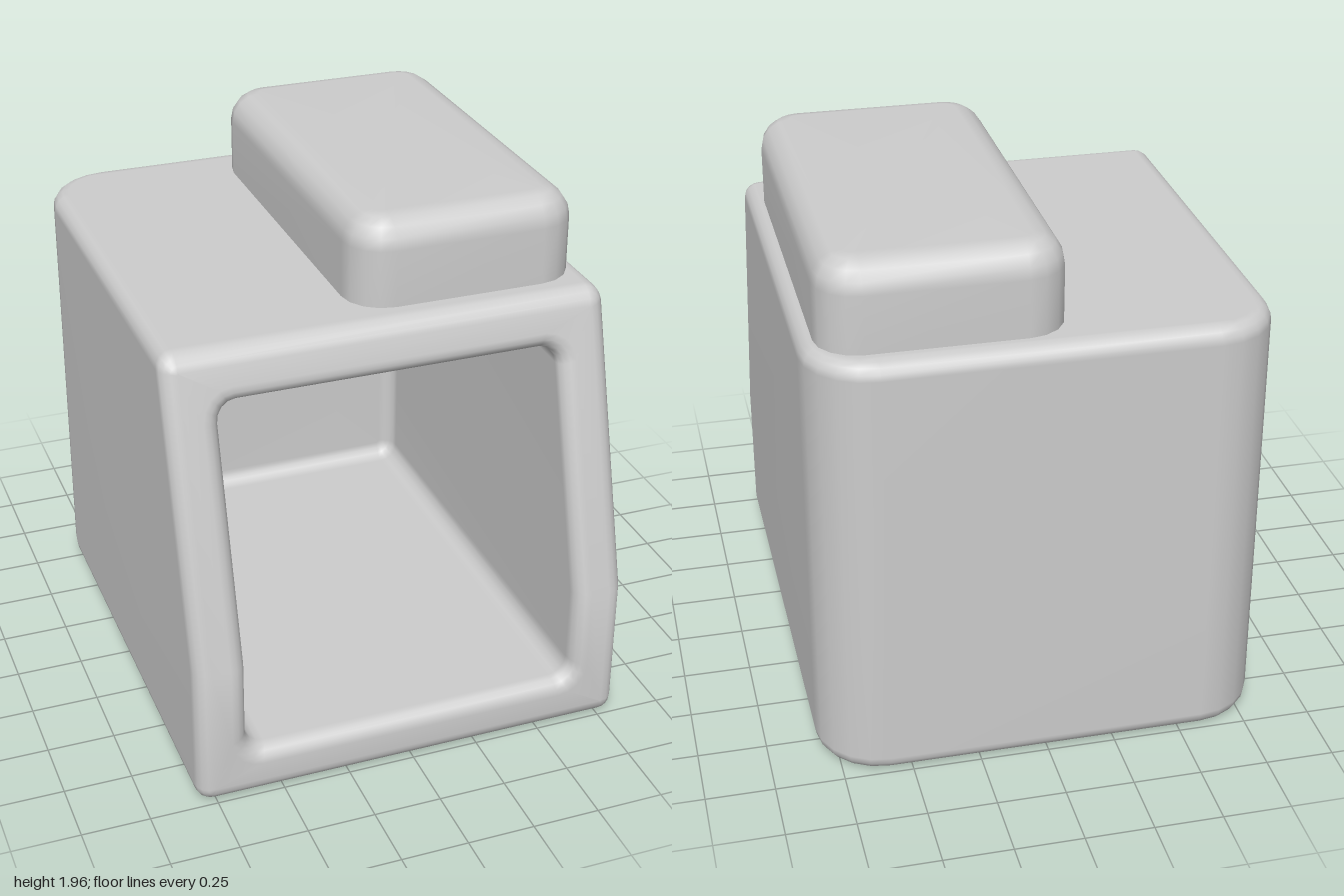
import * as THREE from 'three';
import { mergeGeometries, mergeVertices } from 'three/addons/utils/BufferGeometryUtils.js';

const W = 0.82, H = 1.64, KINK = 0.55;   // body half width, height, start of the front slope
const F = 0.06, R = 0.24, T = 0.19;      // edge fillet, rear corner radius, wall thickness
const SEG = 4;
const frontZ = (y) => (y < KINK ? 1 : 1 - 0.28 * (y - KINK));
const arc = (n) => Array.from({ length: n + 1 }, (_, i) => (i / n) * Math.PI / 2);

// Counter-clockwise rounded rectangle; sideV adds one point on each upright side
function roundedRect(hx, hy, r, sideV) {
  const pts = [];
  [[1, -1, -1], [1, 1, 0], [-1, 1, 1], [-1, -1, 2]].forEach(([sx, sy, q], i) => {
    for (const a of arc(SEG)) {
      const t = a + q * Math.PI / 2;
      pts.push([sx * (hx - r) + r * Math.cos(t), sy * (hy - r) + r * Math.sin(t)]);
    }
    if (sideV !== undefined && i % 2 === 0) pts.push([sx * hx, sideV]);
  });
  return pts;
}

// Skin a list of cross-sections (rows of [x, y, z])
function skin(rows, closed = false) {
  const n = rows[0].length, index = [];
  for (let i = 0; i < rows.length - 1; i++) {
    for (let j = 0; j < (closed ? n : n - 1); j++) {
      const k = (j + 1) % n;
      const a = i * n + j, b = i * n + k, c = b + n, d = a + n;
      index.push(a, b, c, a, c, d);
    }
  }
  const g = new THREE.BufferGeometry();
  g.setAttribute('position', new THREE.Float32BufferAttribute(rows.flat(2), 3));
  g.setIndex(index);
  return g;
}

function smooth(parts) {
  const g = mergeVertices(mergeGeometries(parts), 1e-4);
  g.computeVertexNormals();
  return g;
}

// Hollow housing with sloped front opening
function housingGeometry() {
  const ring = (inset, r, zAt) =>
    roundedRect(W - inset, H / 2 - inset, r, KINK - H / 2)
      .map(([x, v]) => [x, v + H / 2, zAt(v + H / 2)]);

  // outer walls: U-shaped plan sections stacked upwards
  const levels = ring(0, F, () => 0).slice(0, 2 * SEG + 3);
  const walls = levels.map(([x, y]) => {
    const r = R - (W - x);
    const half = [[x, y, frontZ(y) - F]];
    for (const a of arc(5)) half.push([W - R + r * Math.cos(a), y, -1 + R - r * Math.sin(a)]);
    return [...half, ...half.map(([px, py, pz]) => [-px, py, pz]).reverse()];
  });

  // flat top and underside
  const halves = (row) => [row.slice(0, row.length / 2), row.slice(row.length / 2).reverse()];
  const top = halves(walls[walls.length - 1]);
  const bottom = halves(walls[0]).reverse();

  // rounded rim, then the cavity with its filleted rear wall
  const rows = [];
  for (const a of arc(SEG)) {
    const d = F * (1 - Math.cos(a));
    rows.push(ring(d, Math.max(F - d, 0.004), (y) => frontZ(y) - F * (1 - Math.sin(a))));
  }
  for (const a of arc(SEG)) {
    rows.push(ring(T - F + F * Math.sin(a), 0.11 - 0.04 * Math.sin(a),
      (y) => frontZ(y) - F * (1 - Math.cos(a))));
  }
  const backZ = -1 + T;
  for (const a of arc(SEG)) {
    const d = F * (1 - Math.cos(a));
    rows.push(ring(T + d, 0.07 - d, () => backZ + F * (1 - Math.sin(a))));
  }
  rows.push(rows[0].map(() => [0, H / 2, backZ]));

  return smooth([skin(walls), skin(top), skin(bottom), skin(rows, true)]);
}

// Rounded block, open underneath where it sinks into the housing
function blockGeometry(hx, hz, y0, y1, corner, fillet) {
  const ring = (inset, y) =>
    roundedRect(hx - inset, hz - inset, corner - inset).map(([x, v]) => [x, y, -v]);
  const rows = [ring(0, y0)];
  for (const a of arc(SEG)) {
    rows.push(ring(fillet * (1 - Math.cos(a)), y1 - fillet * (1 - Math.sin(a))));
  }
  rows.push(rows[0].map(() => [0, y1, 0]));
  return smooth([skin(rows, true)]);
}

export function createModel() {
  const group = new THREE.Group();
  group.name = 'openHousing';
  const grey = new THREE.MeshStandardMaterial({ color: 0xcccccc });
  grey.name = 'light grey';

  const housing = new THREE.Mesh(housingGeometry(), grey);
  housing.name = 'housing';

  const block = new THREE.Mesh(blockGeometry(0.427, 0.757, 1.62, 1.96, 0.15, 0.11), grey);
  block.name = 'topBlock';
  block.position.set(0.34, 0, -0.157);

  group.add(housing, block);
  return group;
}
